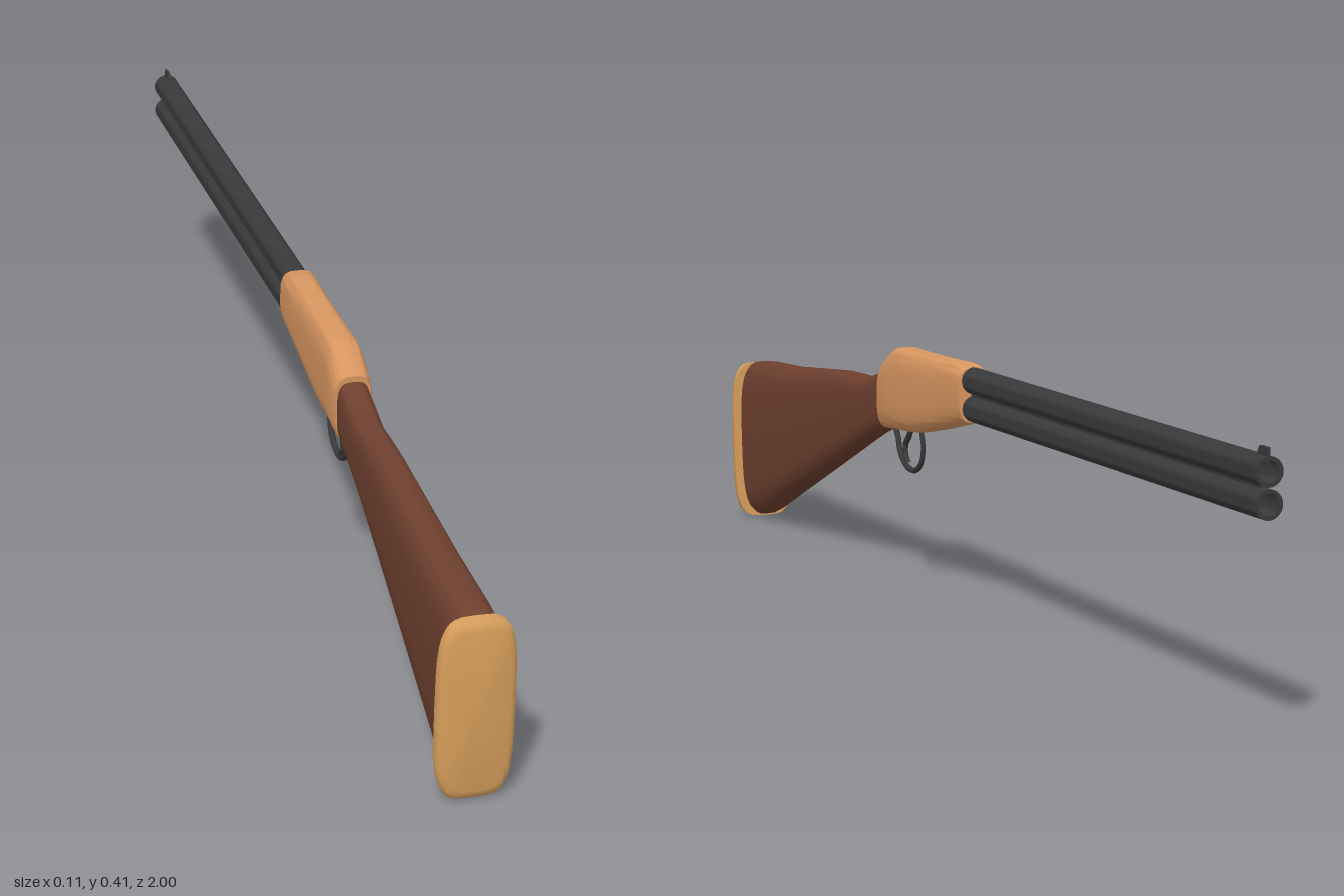
import * as THREE from 'three';
import { toCreasedNormals } from 'three/addons/utils/BufferGeometryUtils.js';

const paint = (color) => new THREE.MeshStandardMaterial({ color });
const WOOD = paint(0x6e402f);
const BRASS = paint(0xd89660);
const PLATE = paint(0xd9a05c);
const STEEL = paint(0x3a3a3c);

function add(group, name, geometry, material) {
  const mesh = new THREE.Mesh(geometry, material);
  mesh.name = name;
  group.add(mesh);
  return mesh;
}

// Capped loft of rounded sections, ordered from +z to -z.
// Each section: [zTop, yTop, zBottom, yBottom, halfWidth]
function loft(sections, power, segments = 40) {
  const position = [];
  const index = [];
  const bend = (v) => Math.sign(v) * Math.abs(v) ** (2 / power);
  for (const [zt, yt, zb, yb, w] of sections) {
    for (let i = 0; i < segments; i++) {
      const a = (i / segments) * Math.PI * 2;
      const t = (bend(Math.sin(a)) + 1) / 2;
      position.push(w * bend(Math.cos(a)), yb + (yt - yb) * t, zb + (zt - zb) * t);
    }
  }
  for (let s = 0; s < sections.length - 1; s++) {
    for (let i = 0; i < segments; i++) {
      const j = (i + 1) % segments;
      const a = s * segments + i, b = s * segments + j;
      index.push(a, a + segments, b, b, a + segments, b + segments);
    }
  }
  const ends = [sections[0], sections[sections.length - 1]];
  ends.forEach(([zt, yt, zb, yb], e) => {
    const centre = position.length / 3;
    const base = e * (sections.length - 1) * segments;
    position.push(0, (yt + yb) / 2, (zt + zb) / 2);
    for (let i = 0; i < segments; i++) {
      const a = base + i, b = base + ((i + 1) % segments);
      if (e === 0) index.push(centre, a, b);
      else index.push(centre, b, a);
    }
  });
  const geometry = new THREE.BufferGeometry();
  geometry.setAttribute('position', new THREE.Float32BufferAttribute(position, 3));
  geometry.setIndex(index);
  return toCreasedNormals(geometry, 0.7);
}

// Round rod through points given as [z, y]
function rod(points, radius, closed = false) {
  const curve = new THREE.CatmullRomCurve3(
    points.map(([z, y]) => new THREE.Vector3(0, y, z)), closed);
  return new THREE.TubeGeometry(curve, 40, radius, 8, closed);
}

// Hollow barrel running to the muzzle at z = -1
function barrel(radius, length) {
  const bore = radius * 0.72;
  const profile = [
    [radius, 0], [radius, length], [bore, length], [bore, length - 0.25], [0, length - 0.25],
  ].map(([x, y]) => new THREE.Vector2(x, y));
  const geometry = new THREE.LatheGeometry(profile, 28);
  geometry.rotateX(-Math.PI / 2);
  geometry.translate(0, 0, length - 1);
  return toCreasedNormals(geometry, 0.7);
}

export function createModel() {
  const model = new THREE.Group();
  model.name = 'longGun';

  // Wooden stock, narrowing to the wrist
  add(model, 'stock', loft([
    [0.988, 0.285, 0.975, 0.012, 0.042],
    [0.975, 0.293, 0.955, 0.008, 0.042],
    [0.94, 0.297, 0.92, 0.02, 0.041],
    [0.80, 0.304, 0.80, 0.07, 0.037],
    [0.65, 0.318, 0.65, 0.131, 0.032],
    [0.54, 0.328, 0.56, 0.168, 0.029],
    [0.47, 0.33, 0.49, 0.197, 0.027],
    [0.43, 0.329, 0.44, 0.218, 0.026],
    [0.38, 0.343, 0.39, 0.238, 0.026],
    [0.32, 0.36, 0.32, 0.262, 0.026],
  ], 3.4), WOOD);

  // Butt plate, slightly domed and wider than the stock
  add(model, 'buttPlate', loft([
    [1.0, 0.272, 0.988, 0.018, 0.047],
    [0.998, 0.284, 0.985, 0.008, 0.053],
    [0.993, 0.29, 0.978, 0.003, 0.0565],
    [0.984, 0.29, 0.968, 0.003, 0.0565],
  ], 4), PLATE);

  // Receiver
  add(model, 'receiver', loft([
    [0.338, 0.364, 0.337, 0.257, 0.028],
    [0.33, 0.372, 0.332, 0.256, 0.03],
    [0.285, 0.399, 0.28, 0.26, 0.03],
    [0.26, 0.402, 0.24, 0.262, 0.03],
    [0.19, 0.402, 0.19, 0.267, 0.029],
    [0.10, 0.403, 0.10, 0.285, 0.028],
    [0.03, 0.405, 0.03, 0.301, 0.028],
    [0.0, 0.404, -0.005, 0.309, 0.028],
    [-0.012, 0.399, -0.016, 0.312, 0.027],
  ], 3.4), BRASS);

  // Stacked barrels with a joining rib
  for (const [name, y] of [['upperBarrel', 0.379], ['lowerBarrel', 0.334]]) {
    add(model, name, barrel(0.0215, 1.04), STEEL).position.y = y;
  }
  add(model, 'barrelRib', new THREE.BoxGeometry(0.012, 0.016, 0.98), STEEL)
    .position.set(0, 0.3565, -0.49);

  // Front sight
  const blade = new THREE.Shape([
    [0.997, 0.39], [0.997, 0.412], [0.975, 0.412], [0.962, 0.39],
  ].map(([x, y]) => new THREE.Vector2(x, y)));
  const sight = new THREE.ExtrudeGeometry(blade, { depth: 0.005, bevelEnabled: false });
  sight.rotateY(Math.PI / 2);
  sight.translate(-0.0025, 0, 0);
  add(model, 'frontSight', sight, STEEL);

  // Trigger guard and trigger
  add(model, 'triggerGuard', rod([
    [0.325, 0.262], [0.312, 0.245], [0.302, 0.22], [0.275, 0.2], [0.24, 0.196],
    [0.21, 0.212], [0.2, 0.24], [0.21, 0.272],
  ], 0.005), STEEL);
  add(model, 'trigger', rod([
    [0.25, 0.27], [0.264, 0.25], [0.278, 0.235], [0.278, 0.217], [0.266, 0.204],
  ], 0.005), STEEL);

  return model;
}
